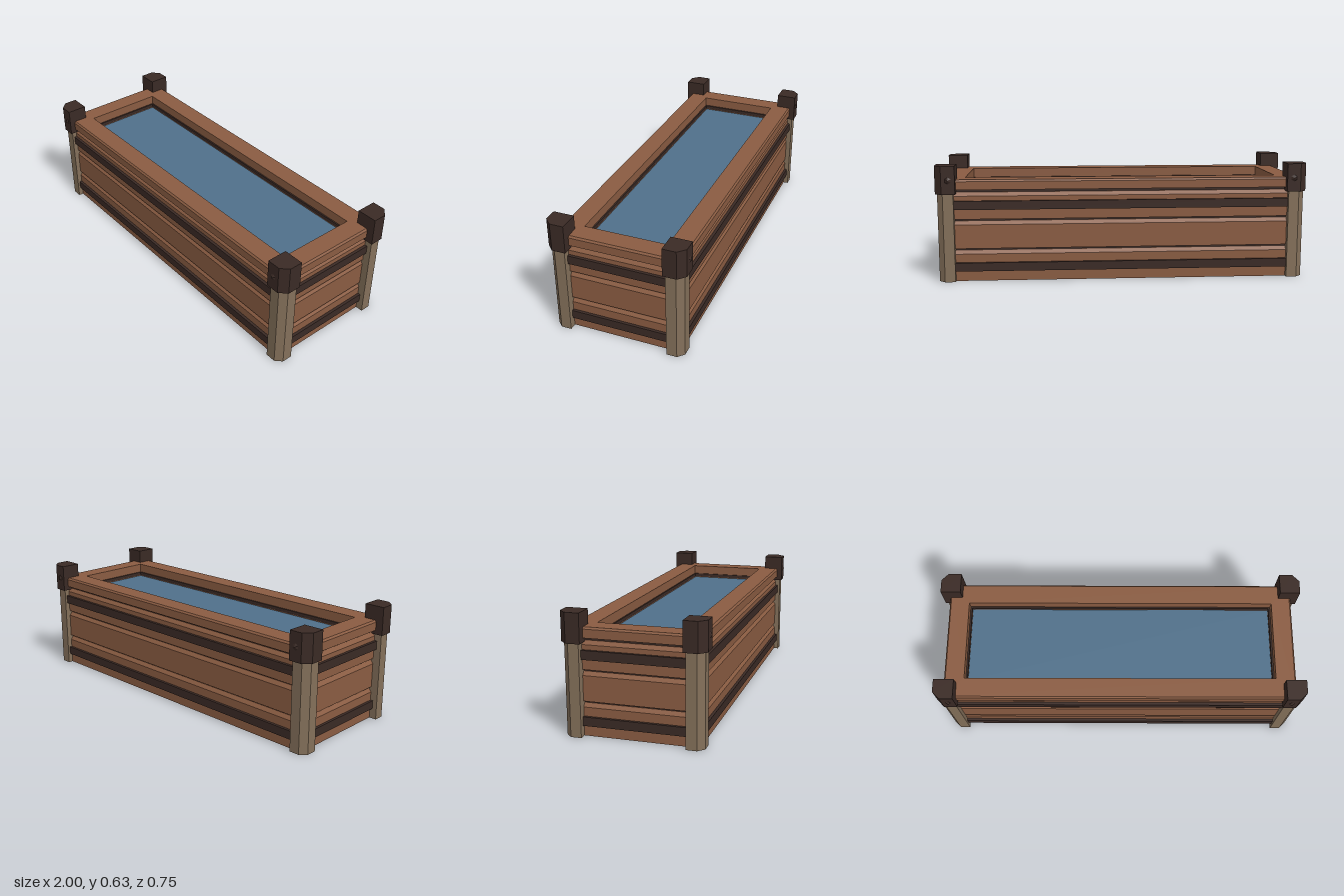
import * as THREE from 'three';

const material = (color) => new THREE.MeshStandardMaterial({ color, flatShading: true });
const wood = material(0x8a5c42);
const darkWood = material(0x3a2a25);
const postWood = material(0x84705a);
const waterBlue = material(0x50708a);

// Rectangular loft: each section is [half width, y, half depth], listed from bottom to top
// along the outside (and on down the inside for a hollow ring).
function rectLoft(sections, closed) {
  const corners = [[1, 1], [1, -1], [-1, -1], [-1, 1]];
  const positions = [];
  const point = ([hx, y, hz], c) => [hx * corners[c % 4][0], y, hz * corners[c % 4][1]];
  const count = closed ? sections.length : sections.length - 1;
  for (let i = 0; i < count; i++) {
    const low = sections[i];
    const high = sections[(i + 1) % sections.length];
    for (let c = 0; c < 4; c++) {
      const a = point(low, c), b = point(low, c + 1);
      const d = point(high, c), e = point(high, c + 1);
      positions.push(...a, ...b, ...e, ...a, ...e, ...d);
    }
  }
  const geometry = new THREE.BufferGeometry();
  geometry.setAttribute('position', new THREE.Float32BufferAttribute(positions, 3));
  geometry.computeVertexNormals();
  return geometry;
}

// Upright square prism between inner and outer limits, its outer corner cut off
function cutCornerPrism(sx, sz, x0, x1, z0, z1, cut, y0, y1) {
  const outline = [[x0, z0], [x1, z0], [x1, z1 - cut], [x1 - cut, z1], [x0, z1]];
  const shape = new THREE.Shape(outline.map(([x, z]) => new THREE.Vector2(x * sx, -z * sz)));
  const geometry = new THREE.ExtrudeGeometry(shape, { depth: y1 - y0, bevelEnabled: false });
  geometry.rotateX(-Math.PI / 2);
  geometry.translate(0, y0, 0);
  return geometry;
}

export function createModel() {
  const trough = new THREE.Group();
  trough.name = 'waterTrough';
  const add = (name, geometry, mat, parent = trough) => {
    const mesh = new THREE.Mesh(geometry, mat);
    mesh.name = name;
    parent.add(mesh);
    return mesh;
  };

  // Plank courses with a bevelled upper edge
  const X = 0.95, Z = 0.325, IX = 0.84, IZ = 0.213;
  for (const [y0, y1] of [[0, 0.167], [0.177, 0.327], [0.337, 0.482]]) {
    add('plankCourse', rectLoft([
      [IX, y0, IZ], [X, y0, Z], [X, y1 - 0.02, Z], [X - 0.006, y1 - 0.012, Z - 0.006],
      [X - 0.015, y1, Z - 0.015], [IX, y1, IZ],
    ], true), wood);
  }

  // Dark lining seen in the gaps between courses
  add('gapLining', rectLoft([
    [IX + 0.001, 0.01, IZ + 0.001], [X - 0.017, 0.01, Z - 0.017],
    [X - 0.017, 0.5, Z - 0.017], [IX + 0.001, 0.5, IZ + 0.001],
  ], true), darkWood);

  // Floor
  const floor = add('floor', new THREE.BoxGeometry(2 * IX, 0.03, 2 * IZ), wood);
  floor.position.y = 0.015;

  // Dark bands around the body
  for (const [y0, y1] of [[0.055, 0.101], [0.39, 0.437]]) {
    add('band', rectLoft([
      [0.93, y0, 0.305], [0.965, y0, 0.34], [0.965, y1, 0.34], [0.93, y1, 0.305],
    ], true), darkWood);
  }

  // Top rim with small bevels
  add('rim', rectLoft([
    [0.85, 0.497, 0.222], [0.96, 0.497, 0.335], [0.96, 0.541, 0.335],
    [0.952, 0.551, 0.327], [0.85, 0.551, 0.222],
  ], true), wood);

  // Water surface
  const water = add('water', new THREE.PlaneGeometry(2 * IX, 2 * IZ), waterBlue);
  water.rotation.x = -Math.PI / 2;
  water.position.y = 0.478;

  // Corner posts, caps and pointed studs
  for (const sx of [1, -1]) {
    for (const sz of [1, -1]) {
      const corner = new THREE.Group();
      corner.name = `${sz > 0 ? 'front' : 'back'}${sx > 0 ? 'Left' : 'Right'}Corner`;
      trough.add(corner);
      add('post', cutCornerPrism(sx, sz, 0.902, 0.99, 0.265, 0.352, 0.032, 0, 0.48), postWood, corner);
      add('cap', cutCornerPrism(sx, sz, 0.89, 1, 0.254, 0.365, 0.038, 0.475, 0.627), darkWood, corner);
      const stud = add('stud', new THREE.ConeGeometry(0.018, 0.01, 6), darkWood, corner);
      stud.rotation.x = sz * Math.PI / 2;
      stud.position.set(sx * 0.926, 0.55, sz * 0.37);
    }
  }
  return trough;
}
